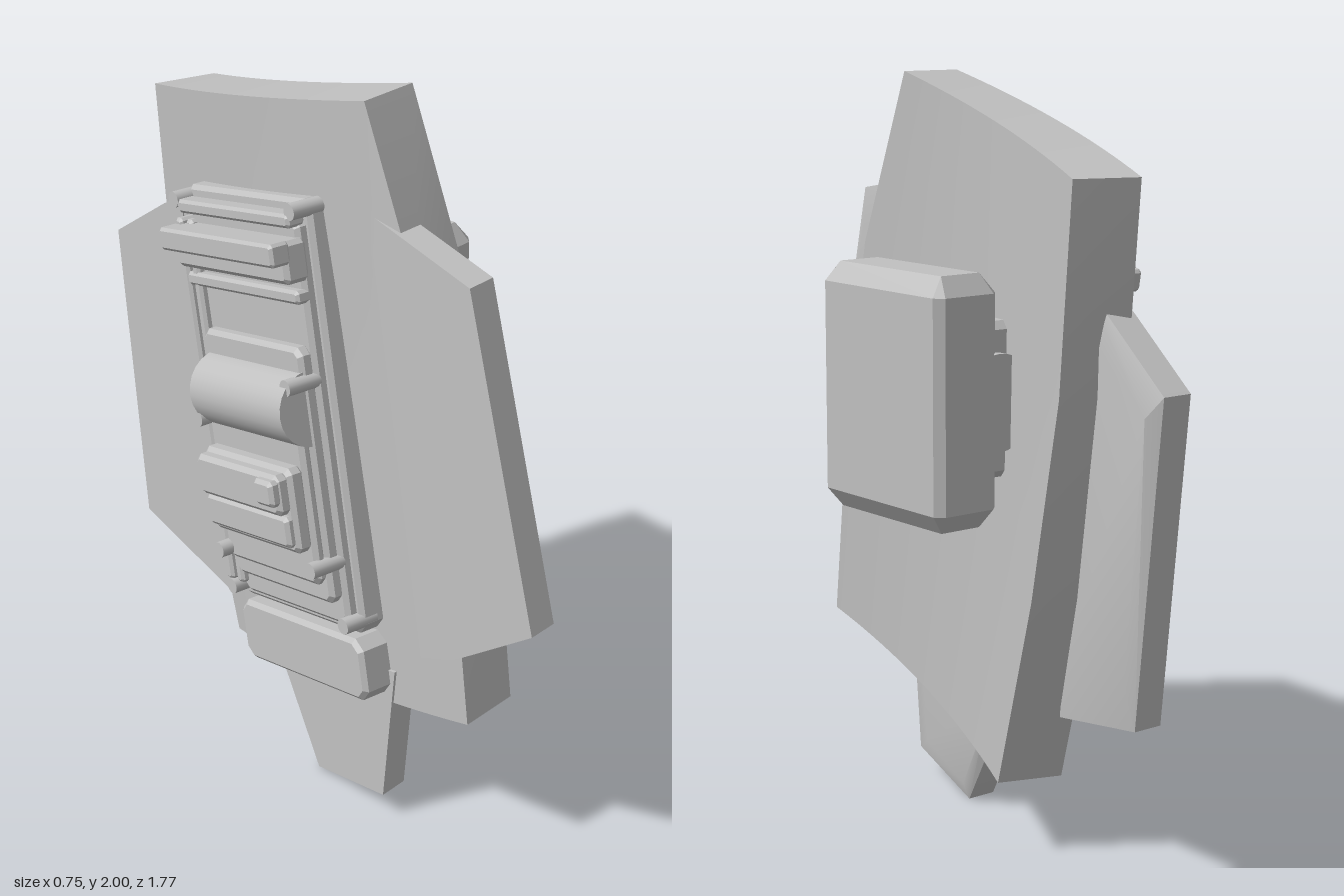
import * as THREE from 'three';
import { toCreasedNormals } from 'three/addons/utils/BufferGeometryUtils.js';
import { ConvexGeometry } from 'three/addons/geometries/ConvexGeometry.js';

const grey = new THREE.MeshStandardMaterial({ color: 0xc0c0c0 });
grey.name = 'light grey';

function add(parent, name, geometry) {
  const mesh = new THREE.Mesh(geometry, grey);
  mesh.name = name;
  parent.add(mesh);
  return mesh;
}

// Box with cut corners and bevelled ends, extruded along local z
function bevelBlock(w, h, d, cut, bevel, inset = bevel) {
  const a = w / 2, b = h / 2;
  const shape = new THREE.Shape([
    [-a + cut, -b], [a - cut, -b], [a, -b + cut], [a, b - cut],
    [a - cut, b], [-a + cut, b], [-a, b - cut], [-a, -b + cut],
  ].map(([x, y]) => new THREE.Vector2(x, y)));
  const g = new THREE.ExtrudeGeometry(shape, {
    depth: d - 2 * bevel, bevelEnabled: true, bevelSegments: 1,
    bevelThickness: bevel, bevelSize: inset, bevelOffset: -inset,
  });
  return g.translate(0, 0, bevel - d / 2);
}

// Curved slab: rows run from top to bottom, each bends towards +x along its width
function slabGeometry() {
  const N = 16, ring = 2 * (N + 1), thick = 0.175;
  const rows = [ // left z, y, x; right z, y, x
    [0.21, 2.0, 0.07, -0.635, 1.78, 0.22],
    [0.42, 1.53, 0.05, -0.59, 1.25, 0.218],
    [0.55, 1.0, 0.025, -0.47, 0.72, 0.2],
    [0.645, 0.44, 0.0, -0.305, 0.2, 0.17],
  ];
  const pos = [], idx = [];
  for (const [zl, yl, xl, zr, yr, xr] of rows) {
    const front = [], back = [];
    for (let j = 0; j <= N; j++) {
      const t = j / N;
      const p = new THREE.Vector3(xl + (xr - xl) * t * t, yl + (yr - yl) * t, zl + (zr - zl) * t);
      const n = new THREE.Vector3(1, 0, 2 * (xr - xl) * t / (zl - zr)).normalize();
      front.push(p);
      back.unshift(p.clone().addScaledVector(n, -thick));
    }
    for (const p of [...front, ...back]) pos.push(p.x, p.y, p.z);
  }
  for (let i = 0; i < rows.length - 1; i++) {
    for (let j = 0; j < ring; j++) {
      const a = i * ring + j, b = i * ring + (j + 1) % ring;
      idx.push(a, a + ring, b, b, a + ring, b + ring);
    }
  }
  const last = (rows.length - 1) * ring;
  for (let j = 0; j < N; j++) {
    const f = j, g = j + 1, b = ring - 1 - j, c = ring - 2 - j;
    idx.push(f, g, b, g, c, b);
    idx.push(last + f, last + b, last + g, last + g, last + b, last + c);
  }
  const geo = new THREE.BufferGeometry();
  geo.setAttribute('position', new THREE.Float32BufferAttribute(pos, 3));
  geo.setIndex(idx);
  return toCreasedNormals(geo, 0.5);
}

// Side flap on the common tilted plane, with a softly bevelled front
function flapGeometry(outline) {
  const cz = outline.reduce((s, p) => s + p[0], 0) / outline.length;
  const cy = outline.reduce((s, p) => s + p[1], 0) / outline.length;
  const pts = [];
  for (const [k, scale] of [[0, 1], [0.085, 1], [0.1, 0.8]]) {
    for (const [z, y] of outline) {
      const sz = cz + (z - cz) * scale, sy = cy + (y - cy) * scale;
      pts.push(new THREE.Vector3(-0.09 - 0.17 * z + 0.025 * (y - 1) + k, sy, sz));
    }
  }
  return toCreasedNormals(new ConvexGeometry(pts), 0.5);
}

export function createModel() {
  const model = new THREE.Group();
  model.name = 'curvedShield';
  add(model, 'curvedSlab', slabGeometry());

  // Flaps around the slab, as z and y outlines
  const flaps = {
    frontFlap: [[0.61, 1.66], [0.23, 1.72], [0.49, 0.58], [0.61, 0.635], [0.89, 0.85]],
    rearFlap: [[-0.57, 1.5], [-0.65, 1.45], [-0.885, 1.29], [-0.755, 0.44], [-0.33, 0.365]],
    bottomFlap: [[0.39, 0.48], [0.36, 0.07], [0.08, 0], [-0.09, 0.26], [-0.14, 0.36]],
  };
  for (const [name, outline] of Object.entries(flaps)) add(model, name, flapGeometry(outline));

  // Mounting pad, bracket and pivot on the hollow side
  const pad = add(model, 'mountingPad', bevelBlock(0.195, 0.495, 0.645, 0.022, 0.05, 0.038));
  pad.rotation.x = -Math.PI / 2;
  pad.position.set(0.277, 1.205, -0.075);
  const bracket = add(model, 'bracket', bevelBlock(0.16, 0.4, 0.38, 0.03, 0.02));
  bracket.position.set(0.13, 1.2, -0.1);
  [[0.125, 0.42, -0.11], [0.075, 0.48, -0.08]].forEach(([r, len, z]) => {
    const pivot = add(model, 'pivot', new THREE.CylinderGeometry(r, r, len, 32));
    pivot.rotation.x = Math.PI / 2;
    pivot.position.set(0.18, 1.2, z);
  });

  // Equipment stack on the far side: local x across, y up, z outward
  const kit = new THREE.Group();
  kit.name = 'equipment';
  const n = new THREE.Vector3(-1, 0.025, -0.17).normalize();
  const u = new THREE.Vector3(-0.16, 0.24, 0.97).normalize();
  const v = new THREE.Vector3().crossVectors(n, u).normalize();
  u.crossVectors(v, n);
  kit.quaternion.setFromRotationMatrix(new THREE.Matrix4().makeBasis(u, v, n));
  kit.position.set(-0.09, 1.085, -0.065);
  model.add(kit);

  const block = (name, u0, u1, v0, v1, n0, n1, cut = 0.012) => {
    const g = bevelBlock(u1 - u0, v1 - v0, n1 - n0, cut, Math.min(cut, 0.012));
    add(kit, name, g).position.set((u0 + u1) / 2, (v0 + v1) / 2, (n0 + n1) / 2);
  };
  block('basePanel', -0.28, 0.28, -0.58, 0.58, -0.04, 0.05, 0.03);
  block('innerPanel', -0.22, 0.26, -0.55, 0.54, 0.03, 0.08, 0.025);
  block('lowerBox', -0.27, 0.28, -0.765, -0.59, -0.04, 0.07, 0.03);

  // Rails and cross bars
  for (const x of [-0.255, -0.205]) block('rail', x - 0.016, x + 0.016, -0.52, 0.5, 0.04, 0.1, 0.008);
  for (const y of [0.535, 0.34]) block('crossBar', -0.24, 0.26, y - 0.018, y + 0.018, 0.05, 0.105, 0.008);
  block('headerShelf', -0.23, 0.27, 0.38, 0.49, 0.06, 0.135);
  block('headerLip', -0.23, 0.28, 0.435, 0.495, 0.12, 0.18, 0.008);

  // Stepped central housing with a rounded drum
  block('housingBase', -0.19, 0.25, -0.48, 0.21, 0.07, 0.115, 0.02);
  block('housingStep', -0.17, 0.245, -0.42, 0.14, 0.11, 0.145, 0.02);
  const drum = add(kit, 'drum', new THREE.CylinderGeometry(0.1, 0.1, 0.41, 24));
  drum.rotation.z = Math.PI / 2;
  drum.position.set(0.04, 0.05, 0.095);
  block('raisedBox', -0.15, 0.24, -0.32, -0.09, 0.14, 0.19, 0.015);
  block('raisedLid', -0.14, 0.23, -0.21, -0.1, 0.18, 0.225, 0.015);
  block('raisedStep', -0.14, 0.23, -0.3, -0.215, 0.18, 0.21, 0.01);
  block('latch', 0.15, 0.23, -0.18, -0.11, 0.21, 0.245, 0.01);

  // Short pins facing outward
  const pins = [[-0.26, 0.55, 0.1], [0.265, 0.56, 0.1], [-0.25, -0.54, 0.1], [0.26, -0.54, 0.1],
    [0.24, 0.12, 0.165], [0.24, -0.37, 0.165], [-0.17, -0.02, 0.18], [-0.16, -0.39, 0.18]];
  for (const [x, y, top] of pins) {
    const pin = add(kit, 'pin', new THREE.CylinderGeometry(0.022, 0.022, 0.1, 16));
    pin.rotation.x = Math.PI / 2;
    pin.position.set(x, y, top - 0.05);
  }
  return model;
}
